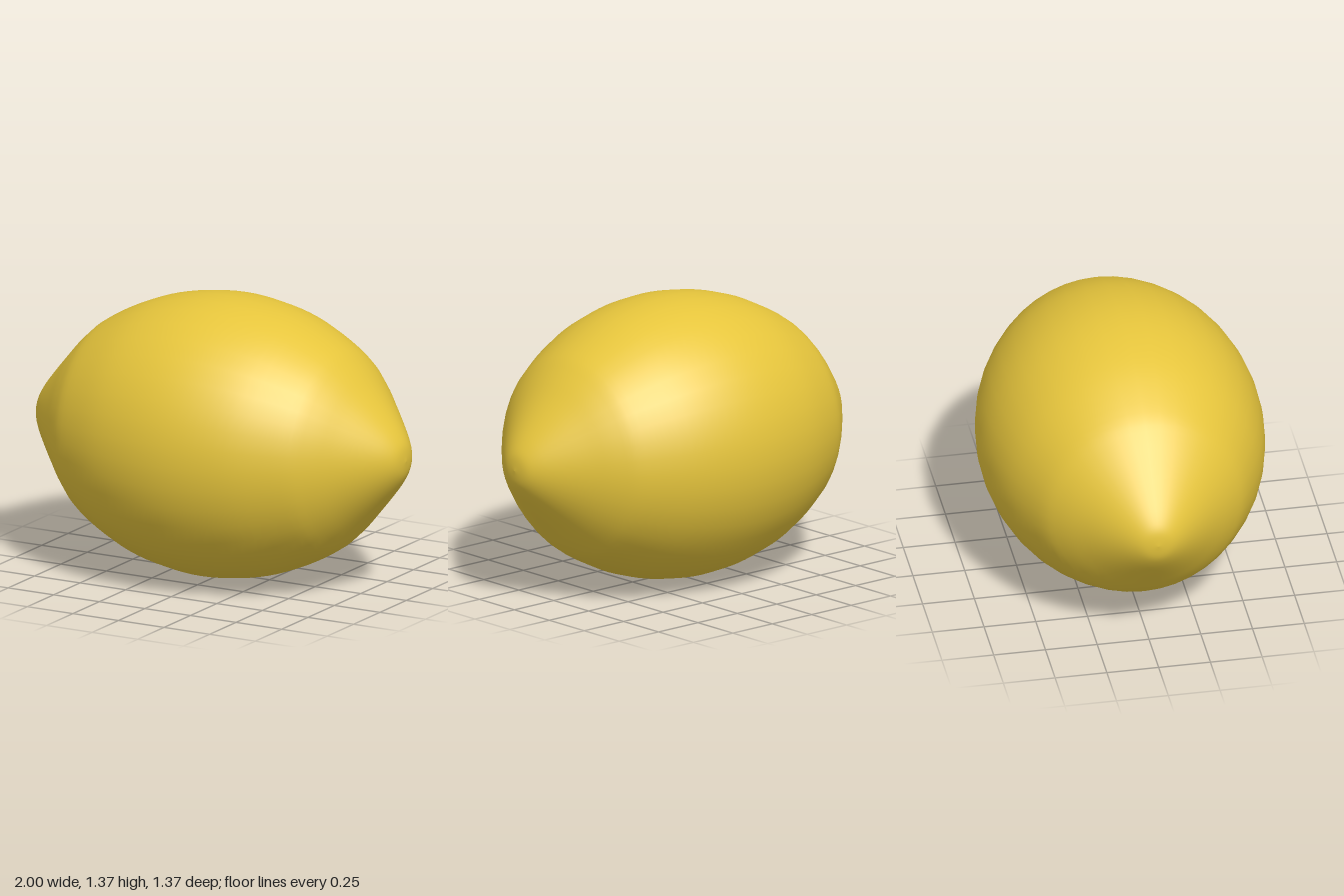
import * as THREE from 'three';

export function createModel() {
  const group = new THREE.Group();
  group.name = 'lemon';
  const peel = new THREE.MeshStandardMaterial({ color: 0xe6c53c });
  peel.name = 'lemonYellow';

  // Half profile: [distance along the axis, radius], from belly to blunt tip
  const half = [
    [0, 0.683], [0.2, 0.664], [0.4, 0.608], [0.6, 0.507], [0.7, 0.425],
    [0.8, 0.316], [0.9, 0.201], [0.96, 0.123], [0.99, 0.065], [1, 0],
  ];
  const mirrored = half.slice(1).reverse().map(([a, r]) => [-a, r]);
  const curve = new THREE.SplineCurve(
    [...mirrored, ...half].map(([a, r]) => new THREE.Vector2(r, a)));
  const profile = curve.getPoints(72);
  profile.forEach((p) => { p.x = Math.max(p.x, 0); });

  // Fruit body: a smooth solid of revolution laid along x
  const geometry = new THREE.LatheGeometry(profile, 40);
  geometry.rotateZ(-Math.PI / 2);
  const fruit = new THREE.Mesh(geometry, peel);
  fruit.name = 'fruitBody';
  fruit.position.y = 0.683;
  group.add(fruit);
  return group;
}
